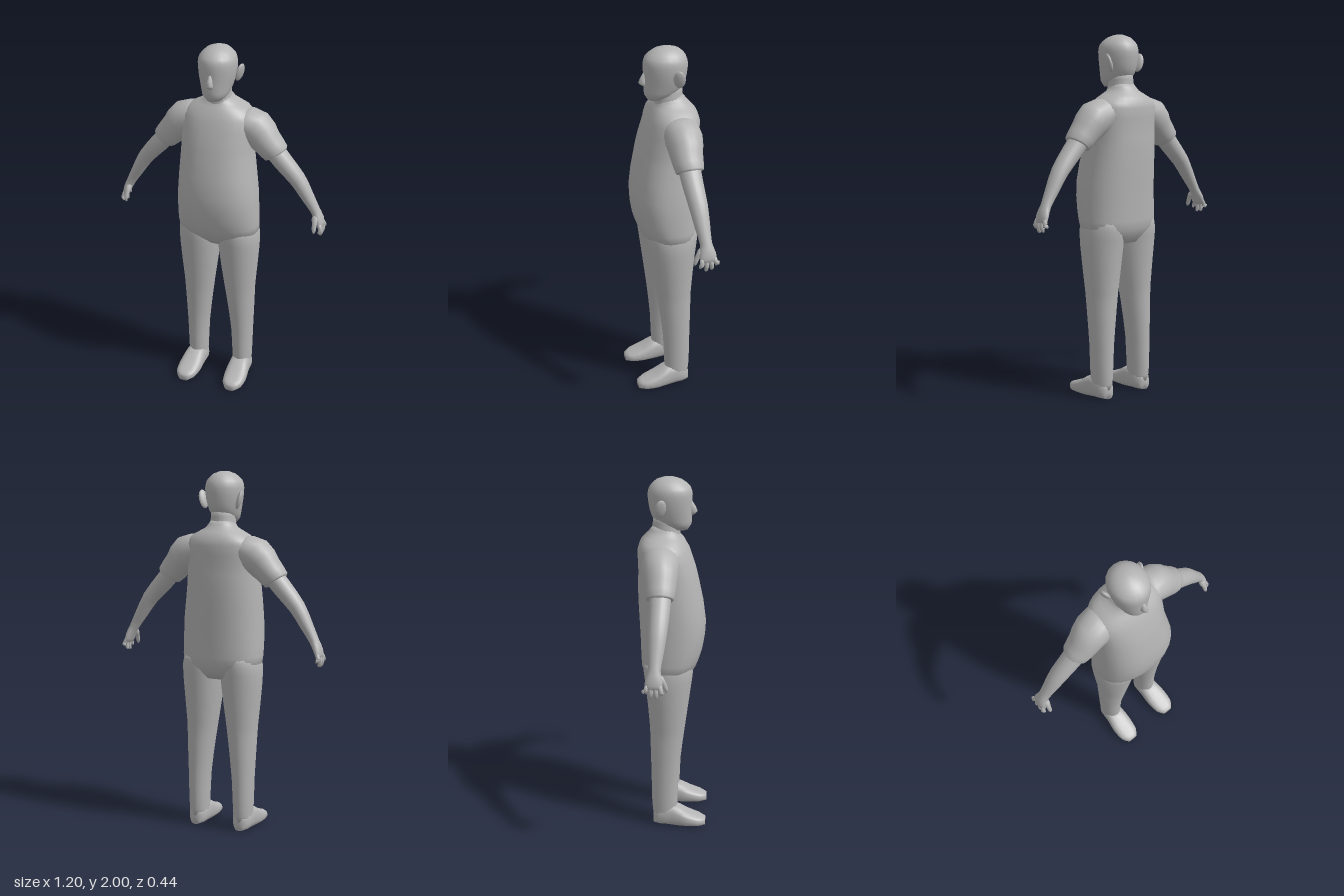
import * as THREE from 'three';

const gray = new THREE.MeshStandardMaterial({ color: 0xb4b4b4 });
gray.name = 'plain gray';

const X = new THREE.Vector3(1, 0, 0), Y = new THREE.Vector3(0, 1, 0), Z = new THREE.Vector3(0, 0, 1);

// Smooth skin through oval rings [x, y, z, side radius, radius along ref].
// axis fixes the ring direction; without it the rings follow the path.
function loft(rings, { ref = Z, axis = null, power = 2, segs = 20, steps = 2, floor = false } = {}) {
  const centres = new THREE.CatmullRomCurve3(rings.map(r => new THREE.Vector3(r[0], r[1], r[2])));
  const radii = new THREE.CatmullRomCurve3(rings.map(r => new THREE.Vector3(r[3], r[4], 0)));
  const n = (rings.length - 1) * steps, pos = [], idx = [];
  const bend = c => Math.sign(c) * Math.pow(Math.abs(c), 2 / power);
  for (let j = 0; j <= n; j++) {
    const c = centres.getPoint(j / n), r = radii.getPoint(j / n);
    const t = axis || centres.getTangent(j / n);
    const u = ref.clone().cross(t).normalize();
    const w = t.clone().cross(u).normalize();
    for (let i = 0; i < segs; i++) {
      const a = (i / segs) * Math.PI * 2;
      const p = c.clone().addScaledVector(u, bend(Math.cos(a)) * r.x).addScaledVector(w, bend(Math.sin(a)) * r.y);
      pos.push(p.x, floor ? Math.max(0, p.y) : p.y, p.z);
    }
  }
  for (let j = 0; j < n; j++) for (let i = 0; i < segs; i++) {
    const k = (i + 1) % segs, a = j * segs + i, b = j * segs + k;
    idx.push(a, b, a + segs, b, b + segs, a + segs);
  }
  // End caps
  const first = pos.length / 3, last = first + 1, end = n * segs;
  pos.push(...rings[0].slice(0, 3), ...rings[rings.length - 1].slice(0, 3));
  for (let i = 0; i < segs; i++) {
    const k = (i + 1) % segs;
    idx.push(first, k, i, last, end + i, end + k);
  }
  const g = new THREE.BufferGeometry();
  g.setAttribute('position', new THREE.Float32BufferAttribute(pos, 3));
  g.setIndex(idx);
  g.computeVertexNormals();
  return g;
}

export function createModel() {
  const model = new THREE.Group();
  model.name = 'standingMan';
  const body = new THREE.Group();
  body.name = 'body';
  body.rotation.y = 0.16;
  model.add(body);

  const add = (name, geometry) => {
    const m = new THREE.Mesh(geometry, gray);
    m.name = name;
    body.add(m);
    return m;
  };

  // Torso with a round belly, then neck and head
  add('torso', loft([
    [0.01, 0.87, -0.03, 0.13, 0.09], [0.01, 0.95, -0.015, 0.226, 0.153],
    [0.01, 1.05, 0, 0.228, 0.172], [0.01, 1.2, 0.005, 0.222, 0.183],
    [0, 1.4, -0.015, 0.203, 0.17], [0, 1.5, -0.025, 0.2, 0.157],
    [0, 1.61, -0.045, 0.2, 0.14], [0, 1.66, -0.05, 0.16, 0.118],
    [0, 1.7, -0.045, 0.085, 0.085], [0, 1.74, -0.035, 0.06, 0.065],
  ], { axis: Y, power: 2.3, segs: 28 }));
  add('neck', loft([
    [0, 1.66, -0.04, 0.08, 0.085], [0, 1.72, -0.03, 0.07, 0.075], [0, 1.8, -0.03, 0.062, 0.072],
  ], { axis: Y }));
  add('head', loft([
    [0, 1.72, 0.045, 0.04, 0.042], [0, 1.75, 0.02, 0.07, 0.085],
    [0, 1.79, 0, 0.083, 0.108], [0, 1.85, -0.008, 0.098, 0.116],
    [0, 1.91, -0.01, 0.104, 0.12], [0, 1.95, -0.01, 0.095, 0.109],
    [0, 1.985, -0.015, 0.06, 0.07], [0, 2, -0.015, 0.02, 0.025],
  ], { axis: Y }));
  add('nose', loft([
    [0, 1.795, 0.1, 0.012, 0.012], [0, 1.817, 0.112, 0.019, 0.025], [0, 1.87, 0.1, 0.008, 0.01],
  ], { axis: Y, segs: 8 }));

  for (const s of [1, -1]) {
    const side = s > 0 ? 'left' : 'right';
    const flip = rings => rings.map(([x, ...rest]) => [x * s, ...rest]);

    // Ear, flared outward at the top and back
    const ear = add(side + 'Ear', new THREE.SphereGeometry(1, 12, 8));
    ear.scale.set(0.014, 0.052, 0.032);
    ear.position.set(s * 0.106, 1.85, -0.055);
    ear.rotation.set(0, -s * 0.35, -s * 0.28);

    // Short sleeve with a turned-in hem
    add(side + 'Sleeve', loft(flip([
      [0.1, 1.6, -0.05, 0.065, 0.095], [0.2, 1.555, -0.05, 0.1, 0.1],
      [0.265, 1.49, -0.045, 0.082, 0.086], [0.322, 1.428, -0.045, 0.07, 0.074],
      [0.324, 1.425, -0.045, 0.056, 0.06],
    ])));

    // Bare arm flowing into the palm
    add(side + 'Arm', loft(flip([
      [0.29, 1.465, -0.045, 0.054, 0.06], [0.36, 1.385, -0.045, 0.052, 0.056],
      [0.445, 1.29, -0.05, 0.044, 0.05], [0.5, 1.2, -0.055, 0.035, 0.041],
      [0.547, 1.12, -0.06, 0.026, 0.032], [0.572, 1.07, -0.062, 0.022, 0.045],
      [0.583, 1.03, -0.064, 0.015, 0.046],
    ])));

    // Four fingers and a thumb
    [[-0.03, -0.02, 1.0], [-0.052, -0.05, 0.98], [-0.075, -0.08, 0.985], [-0.096, -0.115, 1.01]]
      .forEach(([z0, z1, tip], i) => add(side + 'Finger' + (i + 1), loft(flip([
        [0.58, 1.05, z0, 0.011, 0.012], [0.59, 1.02, (z0 + z1) / 2, 0.012, 0.013],
        [0.587, tip + 0.012, z1, 0.01, 0.011], [0.582, tip, z1, 0.005, 0.006],
      ]), { segs: 8 })));
    add(side + 'Thumb', loft(flip([
      [0.555, 1.1, -0.045, 0.014, 0.014], [0.558, 1.06, -0.015, 0.014, 0.014],
      [0.56, 1.025, 0, 0.011, 0.011], [0.56, 1.01, 0.003, 0.005, 0.005],
    ]), { ref: X, segs: 8 }));

    // Trouser leg, shifted slightly with the hips
    const leg = add(side + 'Leg', loft(flip([
      [0.115, 1.0, -0.015, 0.1, 0.13], [0.115, 0.94, -0.015, 0.115, 0.137],
      [0.116, 0.85, -0.015, 0.115, 0.126], [0.122, 0.6, -0.02, 0.088, 0.098],
      [0.127, 0.5, -0.025, 0.079, 0.09], [0.135, 0.3, -0.033, 0.063, 0.077],
      [0.137, 0.12, -0.035, 0.056, 0.072], [0.137, 0.05, -0.035, 0.053, 0.064],
    ]), { axis: Y.clone().negate() }));
    leg.position.x = 0.01;

    // Flat-soled shoe
    const shoe = add(side + 'Shoe', loft(flip([
      [0.137, 0.04, -0.098, 0.03, 0.04], [0.137, 0.055, -0.06, 0.054, 0.058],
      [0.139, 0.058, 0.015, 0.058, 0.066], [0.143, 0.038, 0.09, 0.065, 0.046],
      [0.145, 0.026, 0.16, 0.058, 0.03], [0.145, 0.02, 0.2, 0.03, 0.021],
    ]), { ref: Y, axis: Z, power: 2.7, floor: true }));
    shoe.position.x = 0.01;
  }
  return model;
}
